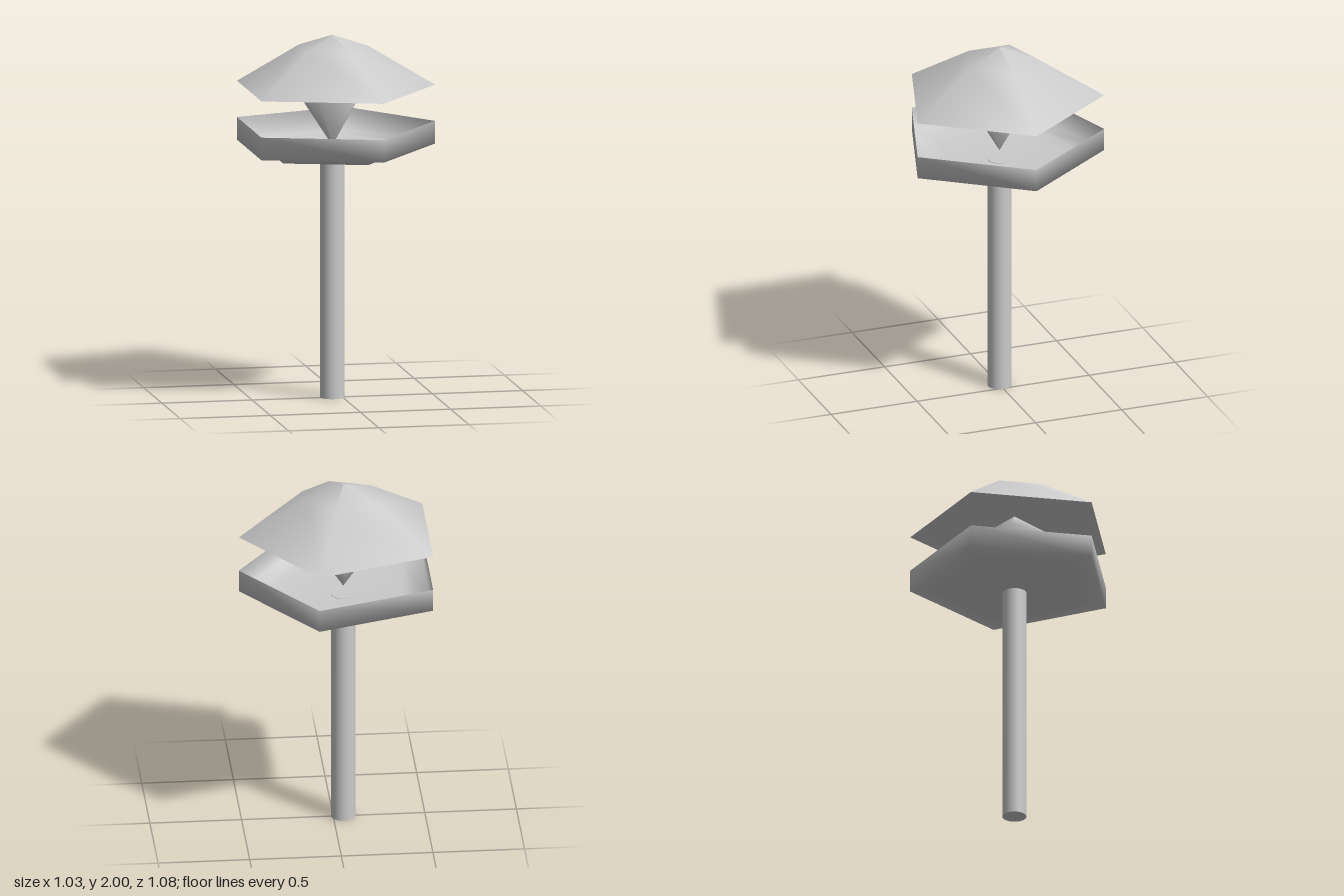
import * as THREE from 'three';

const SIDES = 5;
const AXIS_X = -0.055; // common axis; the pentagon's point reaches further on +x

const material = new THREE.MeshStandardMaterial({ color: 0xcccccc, side: THREE.DoubleSide });

// Five-sided turned shell; profile is [radius, y] from bottom to top
function pentagonShell(name, profile, startAngle) {
  const points = profile.map(([r, y]) => new THREE.Vector2(r, y));
  const mesh = new THREE.Mesh(new THREE.LatheGeometry(points, SIDES, startAngle), material);
  mesh.name = name;
  return mesh;
}

export function createModel() {
  const model = new THREE.Group();
  model.name = 'birdTable';

  // Round post, its end just showing through the tray floor
  const height = 1.342;
  const post = new THREE.Mesh(new THREE.CylinderGeometry(0.066, 0.066, height, 32), material);
  post.name = 'post';
  post.position.y = height / 2;

  // Thin-walled tray with a sunken floor
  const tray = pentagonShell('tray', [
    [0, 1.34], [0.395, 1.34], [0.43, 1.38], [0.57, 1.38], [0.57, 1.505],
  ], Math.PI / 2);

  // Hanging feeder, pointed below, one corner towards the back
  const feeder = pentagonShell('feeder', [
    [0, 1.39], [0.186, 1.67], [0, 1.8],
  ], Math.PI);

  // Hollow two-pitch roof
  const roof = pentagonShell('roof', [
    [0.57, 1.705], [0.2, 1.932], [0, 2],
  ], Math.PI / 2);

  model.add(post, tray, feeder, roof);
  for (const part of model.children) part.position.x = AXIS_X;
  return model;
}
